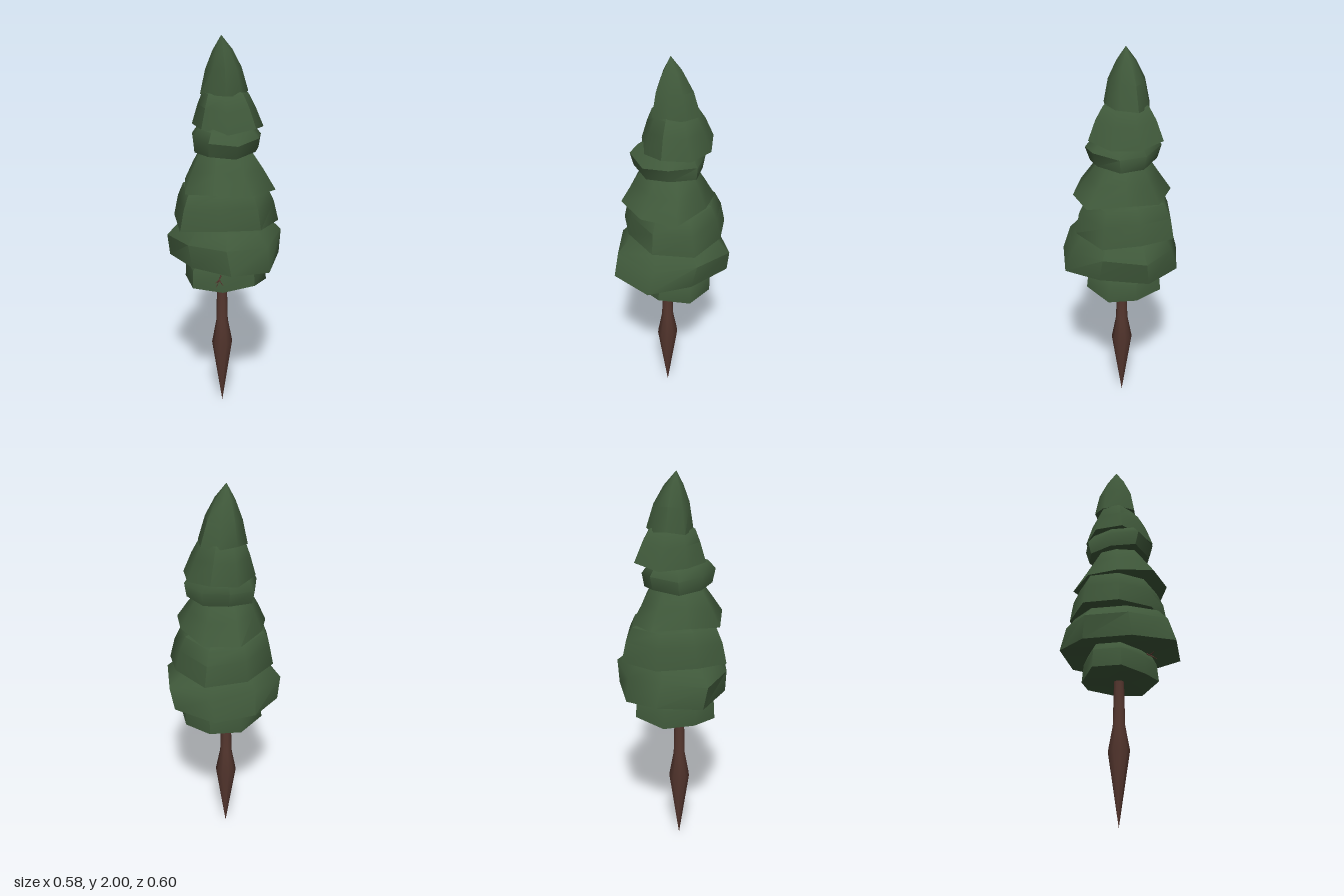
import * as THREE from 'three';
import { toCreasedNormals } from 'three/addons/utils/BufferGeometryUtils.js';

const SIDES = 8;
const AXIS = [-0.025, -0.025]; // x and z the tiers narrow towards

// Uneven octagon fitted to the extents of a tier's rim
function rimPoints(minX, maxX, minZ, maxZ, twist) {
  const points = [];
  for (let i = 0; i < SIDES; i++) {
    const angle = twist + (i * Math.PI * 2) / SIDES;
    const radius = 1 + 0.07 * Math.sin(i * 2.4 + twist * 9);
    points.push(new THREE.Vector2(Math.cos(angle) * radius, Math.sin(angle) * radius));
  }
  const box = new THREE.Box2().setFromPoints(points);
  return points.map((p) => [
    THREE.MathUtils.mapLinear(p.x, box.min.x, box.max.x, minX, maxX),
    THREE.MathUtils.mapLinear(p.y, box.min.y, box.max.y, minZ, maxZ),
  ]);
}

// Rings are [height, scaleX, scaleZ] from the rim upward; the last one closes the top
function tierGeometry(rim, rings, under, wobble) {
  const [cx, cz] = AXIS;
  const last = rings.length - 1;
  const position = [];
  const point = (r, i) => {
    const [y, sx, sz] = rings[r];
    const [x, z] = rim[i % SIDES];
    const dip = Math.sin((i % SIDES) * 2.4 + under * 30) * wobble * sx;
    return [cx + (x - cx) * sx, y + dip, cz + (z - cz) * sz];
  };
  const tri = (a, b, c) => position.push(...a, ...b, ...c);
  for (let i = 0; i < SIDES; i++) {
    for (let r = 0; r < last; r++) {
      const a = point(r, i), b = point(r, i + 1), c = point(r + 1, i);
      tri(a, c, b);
      if (r < last - 1) tri(b, c, point(r + 1, i + 1));
    }
    tri(point(0, i), point(0, i + 1), [cx, under, cz]);
  }
  const geometry = new THREE.BufferGeometry();
  geometry.setAttribute('position', new THREE.Float32BufferAttribute(position, 3));
  return toCreasedNormals(geometry, 0.9);
}

export function createModel() {
  const tree = new THREE.Group();
  tree.name = 'tree';
  const needles = new THREE.MeshStandardMaterial({ color: 0x3f583a });
  needles.name = 'needleGreen';
  const bark = new THREE.MeshStandardMaterial({ color: 0x54362e });
  bark.name = 'barkBrown';

  const add = (name, geometry, material) => {
    const mesh = new THREE.Mesh(geometry, material);
    mesh.name = name;
    tree.add(mesh);
    return mesh;
  };
  const tier = (name, rim, rings, under, wobble) =>
    add(name, tierGeometry(rim, rings, under, wobble), needles);

  // Foliage from the pointed top down to the lowest skirt
  tier('treeTop', rimPoints(-0.115, 0.115, -0.14, 0.08, 0.4),
    [[1.722, 1, 1], [1.84, 0.74, 0.8], [1.93, 0.4, 0.42], [2, 0, 0]], 1.74, 0.008);
  tier('foliageTier2', rimPoints(-0.16, 0.18, -0.2, 0.16, -0.32),
    [[1.56, 1, 1], [1.66, 0.8, 0.8], [1.725, 0.64, 0.6], [1.77, 0, 0]], 1.58, 0.014);
  tier('foliageTier3', rimPoints(-0.18, 0.175, -0.2, 0.175, 0.1),
    [[1.44, 0.95, 0.88], [1.51, 1, 1], [1.555, 0.8, 0.8], [1.62, 0, 0]], 1.46, 0.01);
  tier('foliageTier4', rimPoints(-0.25, 0.205, -0.255, 0.24, -0.1),
    [[1.265, 1, 1], [1.36, 0.8, 0.72], [1.43, 0.62, 0.52], [1.48, 0, 0]], 1.3, 0.016);
  tier('foliageTier5', rimPoints(-0.285, 0.25, -0.26, 0.23, -0.26),
    [[1.075, 1, 1], [1.18, 0.91, 0.93], [1.25, 0.8, 0.8], [1.33, 0, 0]], 1.1, 0.014);
  tier('foliageTier6', rimPoints(-0.28, 0.28, -0.3, 0.3, 0.42),
    [[0.882, 0.96, 1], [1, 1.03, 0.88], [1.065, 0.78, 0.72], [1.13, 0, 0]], 0.91, 0.014);
  tier('foliageTier7', rimPoints(-0.22, 0.2, -0.2, 0.18, -0.3),
    [[0.742, 1, 1], [0.835, 0.98, 0.95], [0.875, 0.85, 0.85], [0.95, 0, 0]], 0.725, 0.014);

  // Trunk with a swollen base tapering to a point
  const profile = [[0, 0], [0.055, 0.37], [0.031, 0.5], [0.026, 0.72], [0.022, 0.95]];
  const trunk = add('trunk', new THREE.LatheGeometry(profile.map(([x, y]) => new THREE.Vector2(x, y)), 10), bark);
  trunk.position.set(-0.033, 0, -0.007);

  // Small forked twig poking out of the lowest tier
  const twig = (name, from, to) => {
    const a = new THREE.Vector3(...from), b = new THREE.Vector3(...to);
    const mesh = add(name, new THREE.CylinderGeometry(0.001, 0.004, a.distanceTo(b), 5), bark);
    mesh.position.copy(a).lerp(b, 0.5);
    mesh.quaternion.setFromUnitVectors(new THREE.Vector3(0, 1, 0), b.sub(a).normalize());
  };
  twig('twigStem', [-0.11, 0.835, 0.15], [-0.155, 0.795, 0.19]);
  twig('twigForkUpper', [-0.13, 0.82, 0.168], [-0.165, 0.82, 0.195]);
  twig('twigForkLower', [-0.13, 0.82, 0.168], [-0.12, 0.8, 0.2]);
  return tree;
}
